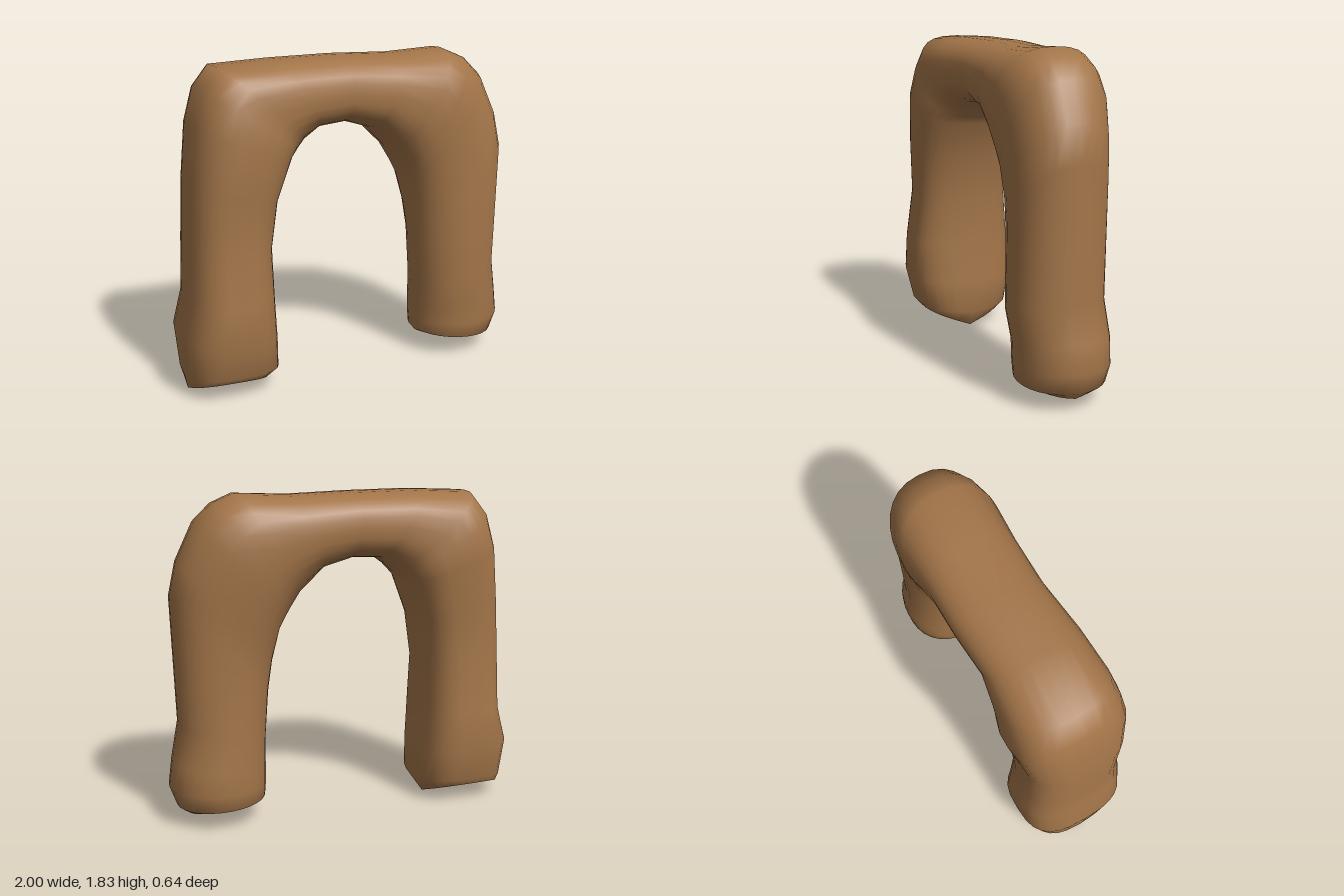
import * as THREE from 'three';

const SIDES = 28;

// Sections along the arch: outer x, y, inner x, y, front z, back z
const SECTIONS = [
  [-0.96, 0.01, -0.53, 0, 0.25, -0.25],
  [-0.98, 0.1, -0.46, 0.1, 0.28, -0.27],
  [-1, 0.35, -0.47, 0.3, 0.325, -0.31],
  [-0.95, 0.55, -0.485, 0.55, 0.325, -0.295],
  [-0.94, 0.85, -0.485, 0.82, 0.285, -0.275],
  [-0.925, 1.2, -0.45, 1.08, 0.3, -0.275],
  [-0.89, 1.5, -0.36, 1.31, 0.315, -0.32],
  [-0.84, 1.69, -0.32, 1.35, 0.295, -0.31],
  [-0.75, 1.805, -0.28, 1.39, 0.28, -0.3],
  [-0.42, 1.82, -0.2, 1.45, 0.265, -0.27],
  [-0.05, 1.82, -0.03, 1.46, 0.235, -0.285],
  [0.3, 1.81, 0.13, 1.41, 0.245, -0.28],
  [0.6, 1.825, 0.26, 1.28, 0.27, -0.295],
  [0.72, 1.775, 0.32, 1.18, 0.27, -0.295],
  [0.82, 1.68, 0.37, 1.08, 0.265, -0.285],
  [0.92, 1.47, 0.41, 0.9, 0.26, -0.255],
  [0.96, 1.28, 0.43, 0.73, 0.265, -0.235],
  [0.935, 0.57, 0.45, 0.45, 0.275, -0.235],
  [0.98, 0.36, 0.455, 0.3, 0.25, -0.255],
  [1, 0.21, 0.455, 0.2, 0.25, -0.255],
  [0.96, 0.1, 0.46, 0.13, 0.24, -0.245],
  [0.9, 0.05, 0.475, 0.11, 0.2, -0.205],
];
const LAST = SECTIONS.length - 1;

// Rounded-square ring; wedge lifts the front and back edges
function ring([ox, oy, ix, iy, zf, zb], squareness, wedge) {
  const soft = (v) => Math.sign(v) * Math.abs(v) ** (2 / squareness);
  return Array.from({ length: SIDES }, (_, j) => {
    const a = (j / SIDES) * Math.PI * 2;
    const t = 0.5 + soft(Math.cos(a)) / 2;
    const s = soft(Math.sin(a));
    return new THREE.Vector3(
      ix + (ox - ix) * t,
      iy + (oy - iy) * t + wedge * Math.abs(s),
      (zf + zb) / 2 + (s * (zf - zb)) / 2,
    );
  });
}

function toGeometry(points, index) {
  const geometry = new THREE.BufferGeometry().setFromPoints(points);
  geometry.setIndex(index);
  geometry.computeVertexNormals();
  return geometry;
}

// Tube skin joining all rings
function skin(rings) {
  const index = [];
  for (let i = 0; i < LAST; i++) {
    for (let j = 0; j < SIDES; j++) {
      const a = i * SIDES + j;
      const b = i * SIDES + ((j + 1) % SIDES);
      index.push(a, b, b + SIDES, a, b + SIDES, a + SIDES);
    }
  }
  return toGeometry(rings.flat(), index);
}

// Sole closing one end of the tube
function sole(points, flip) {
  const centre = points[0].clone().add(points[SIDES / 2]).multiplyScalar(0.5);
  const index = [];
  for (let j = 0; j < SIDES; j++) {
    const k = (j + 1) % SIDES;
    index.push(SIDES, flip ? k : j, flip ? j : k);
  }
  return toGeometry([...points, centre], index);
}

export function createModel() {
  const group = new THREE.Group();
  group.name = 'arch';
  const clay = new THREE.MeshStandardMaterial({ color: 0xa37549 });
  clay.name = 'brownClay';

  // The right leg is squarer than the left and ends in a wedge
  const wedges = { 0: 0.1, 1: 0.04, [LAST]: 0.03 };
  const rings = SECTIONS.map((s, i) => ring(s, 3 - i / LAST, wedges[i] ?? 0));

  const add = (name, geometry) => {
    const mesh = new THREE.Mesh(geometry, clay);
    mesh.name = name;
    group.add(mesh);
  };
  add('archBody', skin(rings));
  add('rightSole', sole(rings[0], true));
  add('leftSole', sole(rings[LAST], false));
  return group;
}
